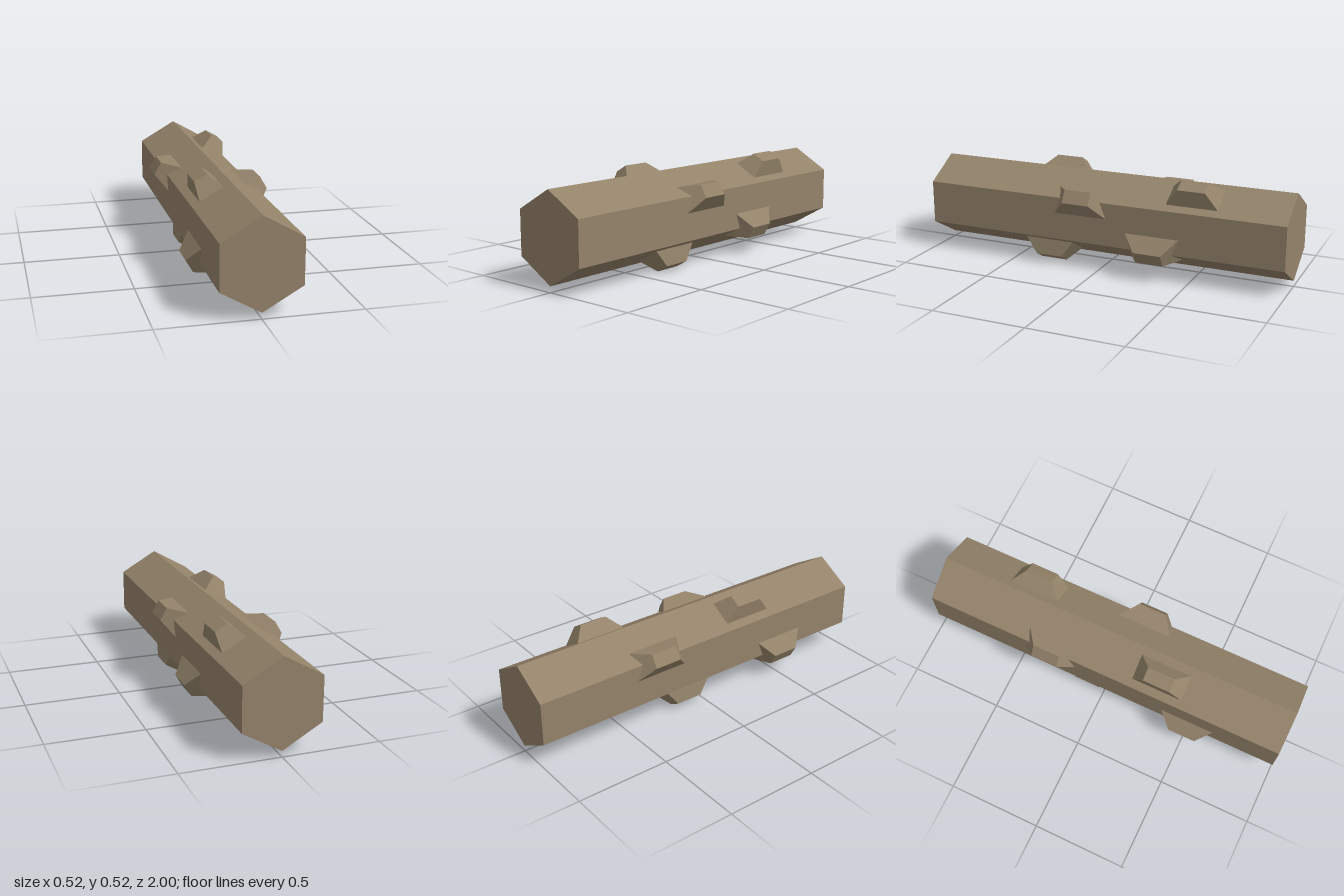
import * as THREE from 'three';

const CENTER_Y = 0.262;

// Give every face its own normals for crisp low-poly facets
function faceted(geometry) {
  const flat = geometry.toNonIndexed();
  flat.computeVertexNormals();
  return flat;
}

export function createModel() {
  const model = new THREE.Group();
  model.name = 'studdedBeam';

  const wood = new THREE.MeshStandardMaterial({ color: 0x94836a });
  wood.name = 'weathered brown';

  // Six-sided beam lying along z, with one ridge straight up
  const beamGeometry = new THREE.CylinderGeometry(0.23, 0.23, 2, 6);
  beamGeometry.rotateX(Math.PI / 2);
  const beam = new THREE.Mesh(faceted(beamGeometry), wood);
  beam.name = 'beam';
  beam.position.y = CENTER_Y;
  model.add(beam);

  // Tapered four-sided stud, twice as long as wide, sunk into the beam
  const studGeometry = new THREE.CylinderGeometry(0.0523, 0.119, 0.12, 4);
  studGeometry.rotateY(Math.PI / 4);
  studGeometry.scale(1, 1, 2);
  studGeometry.translate(0, 0.22, 0);
  const studFlat = faceted(studGeometry);

  // [angle around the beam in degrees, position along z]
  const studs = [
    [30, 0.1], [60, -0.5], [120, 0.3], [150, -0.3],
    [210, 0.5], [240, -0.1], [300, 0.3], [330, -0.3],
  ];
  studs.forEach(([angle, z], i) => {
    const stud = new THREE.Mesh(studFlat, wood);
    stud.name = `stud${i + 1}`;
    stud.position.set(0, CENTER_Y, z);
    stud.rotation.z = THREE.MathUtils.degToRad(angle - 90);
    model.add(stud);
  });

  return model;
}
